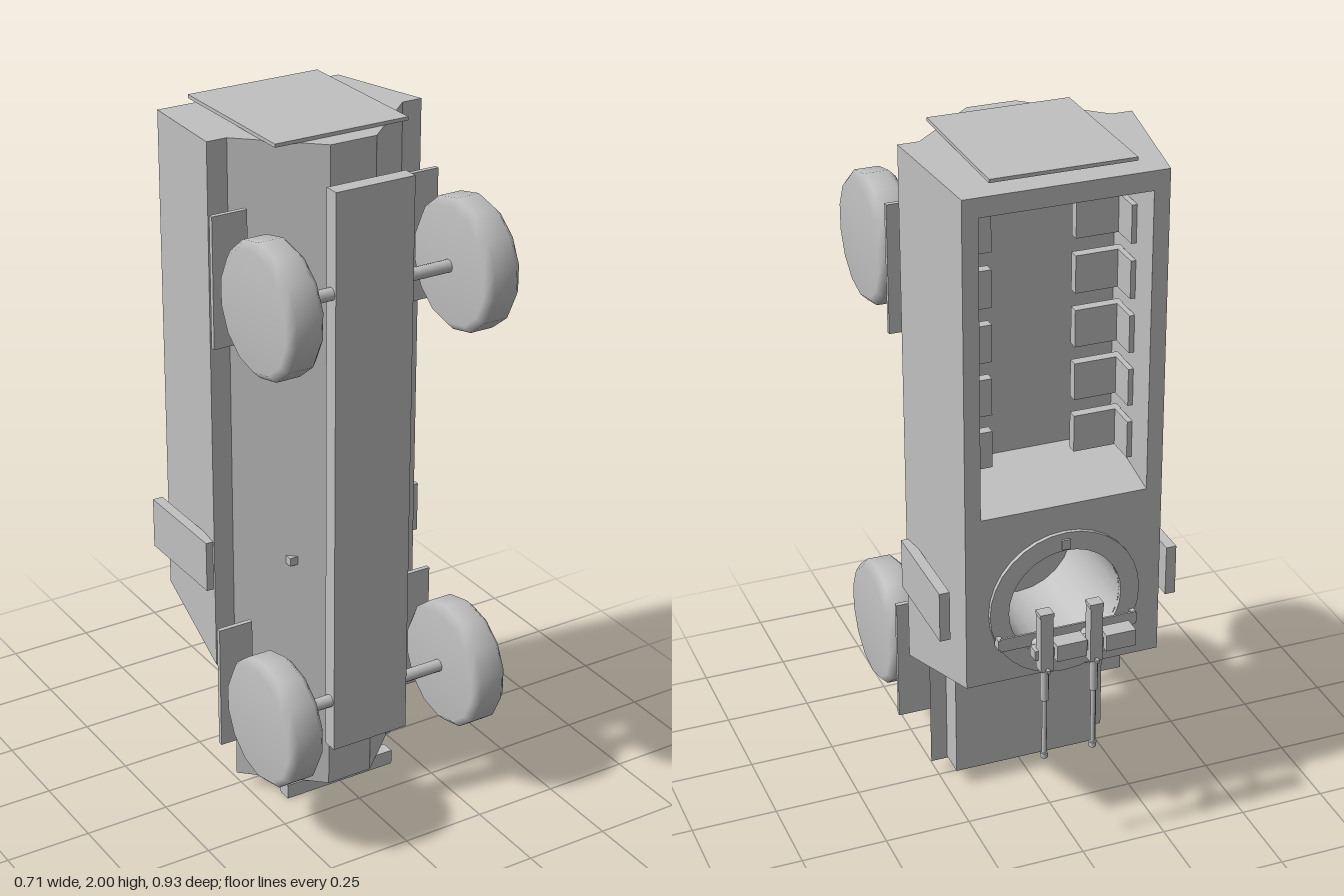
import * as THREE from 'three';

const grey = new THREE.MeshStandardMaterial({ color: 0xc0c0c0, side: THREE.DoubleSide });
grey.name = 'plain grey';

export function createModel() {
  const model = new THREE.Group();
  model.name = 'armouredTruck';

  const add = (name, geometry, parent = model) => {
    const mesh = new THREE.Mesh(geometry, grey);
    mesh.name = name;
    parent.add(mesh);
    return mesh;
  };
  // Box given by its limits on each axis
  const boxGeo = (x0, x1, y0, y1, z0, z1) =>
    new THREE.BoxGeometry(x1 - x0, y1 - y0, z1 - z0).translate((x0 + x1) / 2, (y0 + y1) / 2, (z0 + z1) / 2);
  const box = (name, x0, x1, y0, y1, z0, z1, parent) => add(name, boxGeo(x0, x1, y0, y1, z0, z1), parent);
  // Tapered box between a roof end (-z) and a floor end (+z), open at the roof
  const openTub = (roof, floor) => {
    const g = new THREE.BoxGeometry(1, 1, 1);
    const p = g.attributes.position;
    for (let i = 0; i < p.count; i++) {
      const e = p.getZ(i) < 0 ? roof : floor;
      p.setXYZ(i, Math.sign(p.getX(i)) * e.x, p.getY(i) < 0 ? e.y0 : e.y1, e.z);
    }
    g.setIndex(Array.from(g.index.array).slice(0, 30));
    g.clearGroups();
    const flat = g.toNonIndexed();
    flat.computeVertexNormals();
    return flat;
  };

  // Upper hull: sloped sides, open roof
  add('upperHull', openTub({ x: 0.285, y0: 0.52, y1: 1.965, z: -0.34 }, { x: 0.33, y0: 0.43, y1: 1.99, z: 0.01 }));

  // Roof plate with troop hatch and gunner's hole
  const roof = new THREE.Shape([[-0.285, 0.52], [0.285, 0.52], [0.285, 1.965], [-0.285, 1.965]].map(a => new THREE.Vector2(...a)));
  roof.holes.push(new THREE.Path([[-0.24, 1.04], [-0.24, 1.91], [0.24, 1.91], [0.24, 1.04]].map(a => new THREE.Vector2(...a))));
  roof.holes.push(new THREE.Path().absarc(0, 0.74, 0.165, 0, Math.PI * 2, true));
  add('roof', new THREE.ShapeGeometry(roof, 16).rotateY(Math.PI).translate(0, 0, -0.34));

  // Interior compartment and gunner's well
  add('troopBay', openTub({ x: 0.24, y0: 1.04, y1: 1.91, z: -0.34 }, { x: 0.28, y0: 1.04, y1: 1.91, z: 0 }));
  add('gunnerWell', new THREE.CylinderGeometry(0.165, 0.165, 0.34, 24, 1, true).rotateX(Math.PI / 2).translate(0, 0.74, -0.17));
  add('wellFloor', new THREE.CircleGeometry(0.165, 24).rotateY(Math.PI).translate(0, 0.74, 0));

  // Rows of seats along both walls
  for (const s of [-1, 1]) {
    for (let i = 0; i < 5; i++) {
      const y = 1.12 + i * 0.16;
      const seat = new THREE.Group();
      seat.name = 'seat';
      model.add(seat);
      box('seatPan', -0.07, 0.07, -0.055, 0.055, -0.015, 0.015, seat);
      box('seatBack', s * 0.06 - 0.008, s * 0.06 + 0.008, -0.055, 0.055, -0.1, -0.015, seat);
      seat.position.set(s * 0.19, y, -0.1);
    }
  }

  // V-shaped lower hull, extruded along the vehicle's length
  const vee = new THREE.Shape([[-0.27, -0.01], [0.27, -0.01], [0.07, -0.195], [-0.07, -0.195]].map(a => new THREE.Vector2(...a)));
  add('lowerHull', new THREE.ExtrudeGeometry(vee, { depth: 1.945, bevelEnabled: false }).rotateX(-Math.PI / 2).translate(0, 0.045, 0));

  box('engineHood', -0.22, 0.22, 0.05, 0.432, -0.07, 0.07);
  box('bumper', -0.178, 0.178, 0.0, 0.045, 0.105, 0.145);
  box('rearDoor', -0.203, 0.203, 1.99, 2.0, -0.318, 0.14);
  box('sideStub', -0.16, 0.16, 0.757, 0.782, 0.11, 0.135);
  box('driveShaft', -0.12, 0.12, 0.235, 1.905, 0.257, 0.303);

  // Wheels, axles, mudguards and side boxes
  const tyre = new THREE.LatheGeometry(
    [[0, -0.055], [0.167, -0.055], [0.187, -0.035], [0.187, 0.035], [0.167, 0.055], [0, 0.055]].map(a => new THREE.Vector2(...a)), 14
  ).rotateY(Math.PI / 2).rotateZ(Math.PI / 2);
  for (const y of [0.387, 1.62]) {
    add('axle', new THREE.CylinderGeometry(0.018, 0.018, 0.5, 12).rotateZ(Math.PI / 2).translate(0, y, 0.281));
    for (const s of [-1, 1]) {
      add('wheel', tyre).position.set(s * 0.3, y, 0.282);
      add('mudguard', new THREE.BoxGeometry(0.105, 0.375, 0.014)).position.set(s * 0.298, y, 0.061);
    }
  }
  for (const s of [-1, 1]) add('sideBox', new THREE.BoxGeometry(0.03, 0.15, 0.31)).position.set(s * 0.335, 0.745, -0.155);

  // Turret ring and its stop block
  const ring = new THREE.Shape().absarc(0, 0, 0.22, 0, Math.PI * 2);
  ring.holes.push(new THREE.Path().absarc(0, 0, 0.165, 0, Math.PI * 2, true));
  add('turretRing', new THREE.ExtrudeGeometry(ring, { depth: 0.012, bevelEnabled: false, curveSegments: 16 }))
    .position.set(0, 0.74, -0.352);
  box('ringStop', -0.012, 0.012, 0.91, 0.94, -0.358, -0.35);

  // Cross bar carrying the twin guns
  box('crossBar', -0.2, 0.2, 0.64, 0.68, -0.378, -0.372);
  for (const s of [-1, 1]) box('barPost', s * 0.198 - 0.007, s * 0.198 + 0.007, 0.645, 0.675, -0.376, -0.345);

  const rod = (name, r, y0, y1, parent) =>
    add(name, new THREE.CylinderGeometry(r, r, y1 - y0, 10).translate(0, (y0 + y1) / 2, 0), parent);
  for (const x of [-0.05, 0.095]) {
    const gun = new THREE.Group();
    gun.name = 'gun';
    gun.position.set(x, 0, -0.438);
    model.add(gun);
    box('receiver', -0.018, 0.018, 0.6, 0.77, -0.018, 0.018, gun);
    box('grip', -0.02, 0.02, 0.77, 0.782, -0.018, 0.018, gun);
    rod('barrelJacket', 0.012, 0.5, 0.6, gun);
    rod('barrel', 0.007, 0.31, 0.5, gun);
    rod('muzzle', 0.011, 0.31, 0.325, gun);
    box('sight', -0.004, 0.004, 0.6, 0.61, -0.032, -0.018, gun);
    box('cradle', -0.028, 0.028, 0.63, 0.66, 0, 0.036, gun);
    add('pintle', new THREE.CylinderGeometry(0.015, 0.015, 0.06, 10).rotateX(Math.PI / 2).translate(0, 0.65, 0.045), gun);
    box('ammoBox', -0.12, -0.032, 0.62, 0.67, -0.012, 0.04, gun);
  }
  return model;
}
